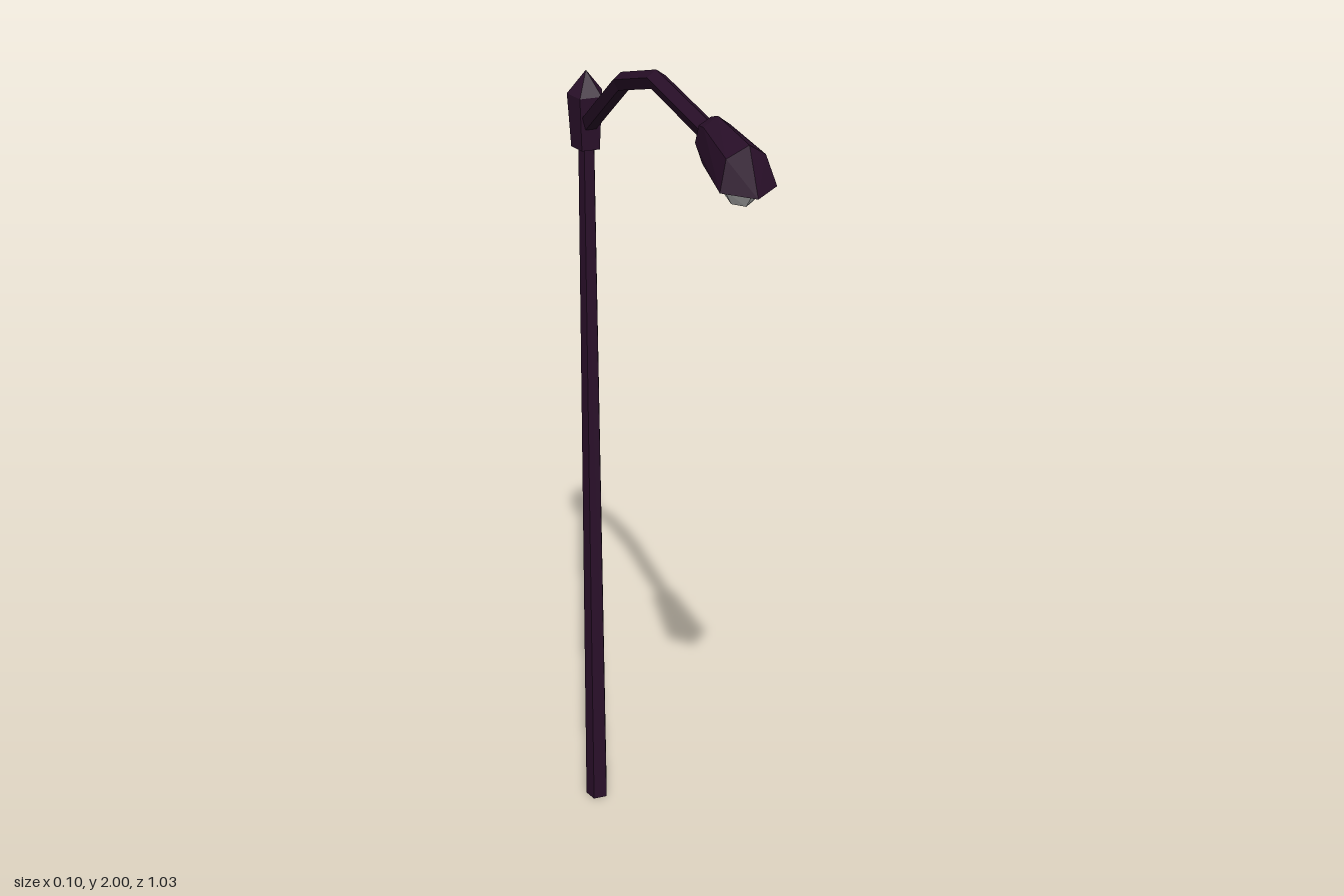
import * as THREE from 'three';
import { ConvexGeometry } from 'three/addons/geometries/ConvexGeometry.js';

const SIDES = 5;
const POLE_Z = -0.475;

export function createModel() {
  const metal = new THREE.MeshStandardMaterial({ color: 0x2a102a, flatShading: true });
  metal.name = 'dark plum metal';
  const glass = new THREE.MeshStandardMaterial({ color: 0xcccccc, flatShading: true });
  glass.name = 'pale lamp glass';

  const group = new THREE.Group();
  group.name = 'streetLamp';
  const add = (name, geometry, material) => {
    const mesh = new THREE.Mesh(geometry, material);
    mesh.name = name;
    group.add(mesh);
    return mesh;
  };

  // Five-sided upright parts, with one corner pointing backwards
  const upright = (name, profile) => {
    const points = profile.map(([r, y]) => new THREE.Vector2(r, y));
    add(name, new THREE.LatheGeometry(points, SIDES, Math.PI), metal).position.z = POLE_Z;
  };
  upright('pole', [[0, 0], [0.027, 0], [0.018, 1.7], [0, 1.7]]);
  upright('poleCap', [[0, 1.66], [0.033, 1.66], [0.04, 1.775], [0, 1.825]]);

  // Bent arm: each ring of a cylinder is set on a corner of the path
  const path = [[-0.475, 1.705], [-0.23, 1.88], [-0.02, 1.953], [0.3, 1.953]]
    .map(([z, y]) => new THREE.Vector3(0, y, z));
  const last = path.length - 1;
  const arm = new THREE.CylinderGeometry(0.0195, 0.0195, 1, SIDES, last, false, Math.PI);
  const pos = arm.attributes.position;
  for (let i = 0; i < pos.count; i++) {
    const k = Math.round((pos.getY(i) + 0.5) * last);
    const t = path[Math.min(k + 1, last)].clone().sub(path[Math.max(k - 1, 0)]).normalize();
    const offset = pos.getZ(i);
    pos.setXYZ(i, pos.getX(i), path[k].y - t.z * offset, path[k].z + t.y * offset);
  }
  arm.computeVertexNormals();
  add('arm', arm, metal);

  // Faceted solids from corners mirrored across x
  const mirroredHull = (corners) => new ConvexGeometry(corners.flatMap(([x, y, z]) =>
    (x === 0 ? [0] : [x, -x]).map((sx) => new THREE.Vector3(sx, y, z))));

  // Lamp housing: back end, widened body, pointed nose
  add('lampHousing', mirroredHull([
    [0.028, 1.938, 0.275], [0.022, 1.97, 0.277], [0, 1.985, 0.28],
    [0.034, 1.92, 0.33], [0.025, 1.978, 0.31], [0, 1.998, 0.315],
    [0.052, 1.92, 0.47], [0.036, 1.974, 0.455], [0, 2.0, 0.47],
    [0, 1.92, 0.517],
  ]), metal);

  // Glass under the housing, tapering downwards
  add('lampGlass', mirroredHull([
    [0.028, 1.921, 0.325], [0.041, 1.921, 0.46], [0, 1.921, 0.493],
    [0.012, 1.885, 0.355], [0.02, 1.885, 0.44], [0, 1.885, 0.46],
  ]), glass);

  return group;
}
